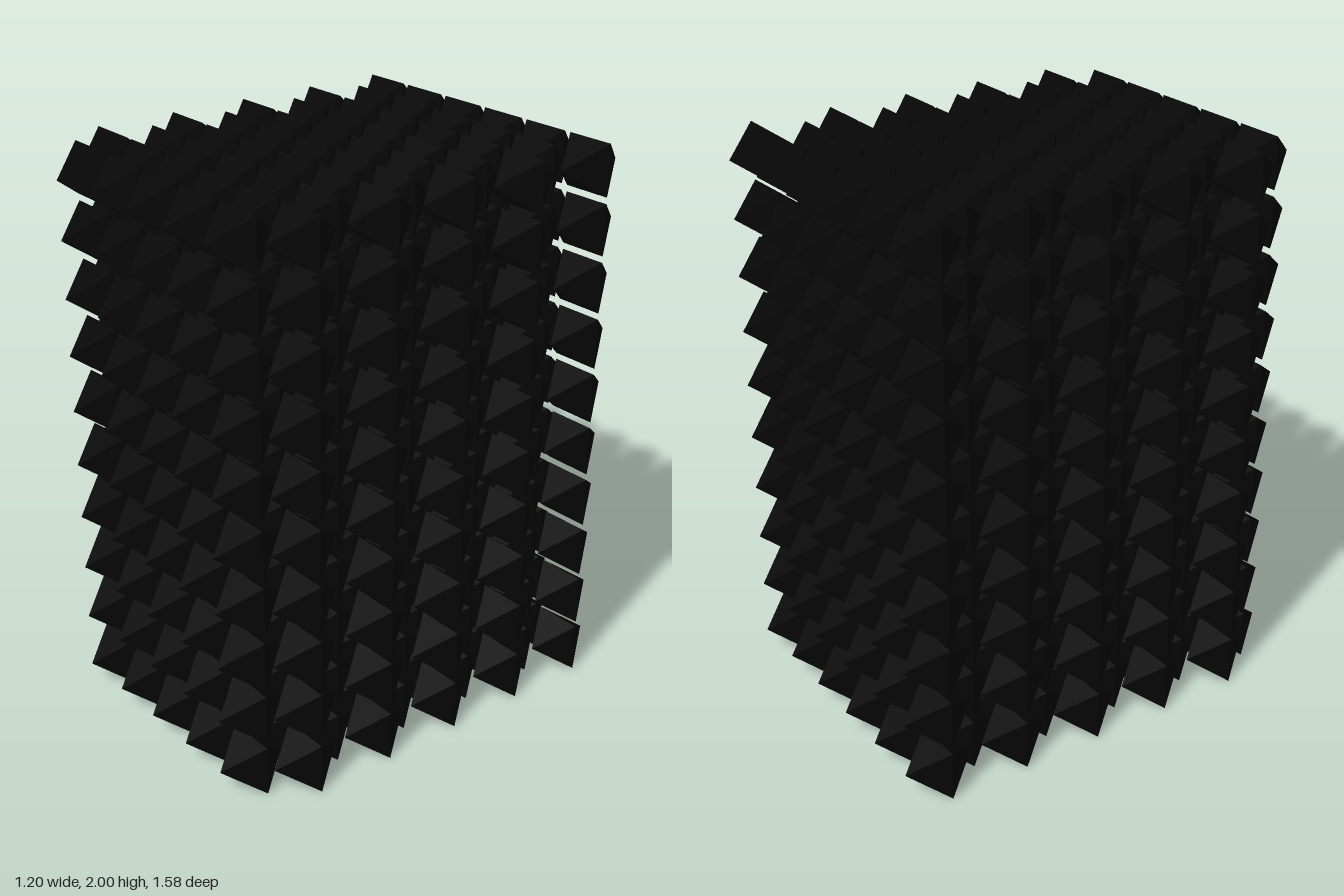
import * as THREE from 'three';
import { mergeGeometries } from 'three/addons/utils/BufferGeometryUtils.js';

const HALF = 0.09;                    // half width of a cell's square waist
const RADIUS = HALF * Math.SQRT2;     // centre to corner of a regular octahedron
const LAYERS = 10, ROWS = 10;
const STEP_X = 0.2046, STEP_Y = 0.2022, STEP_Z = 0.1475;

// One layer of octahedra: rows alternate between 6 and 5 cells, staggered
function layerGeometry() {
  const cell = new THREE.OctahedronGeometry(RADIUS).rotateZ(Math.PI / 4);
  const cells = [];
  for (let row = 0; row < ROWS; row++) {
    const count = row % 2 === 0 ? 6 : 5;
    const z = (row - (ROWS - 1) / 2) * STEP_Z;
    for (let i = 0; i < count; i++) {
      cells.push(cell.clone().translate((i - (count - 1) / 2) * STEP_X, 0, z));
    }
  }
  return mergeGeometries(cells);
}

// Small dark body wedged between the cells, flat underneath and tapered to the front
function createWedgedBody() {
  const outline = new THREE.Shape([
    [0.155, -0.59], [0.185, -0.59], [0.24, -0.38], [0.24, -0.3],
    [0.21, -0.24], [0.17, -0.24], [0.145, -0.3], [0.145, -0.42],
  ].map(([x, z]) => new THREE.Vector2(x, -z)));
  const geometry = new THREE.ExtrudeGeometry(outline, { depth: 0.09, bevelEnabled: false });
  geometry.rotateX(-Math.PI / 2).translate(0, 0.642, 0);
  const body = new THREE.Mesh(geometry, new THREE.MeshStandardMaterial({ color: 0x181818, flatShading: true }));
  body.name = 'wedgedBody';
  return body;
}

export function createModel() {
  const model = new THREE.Group();
  model.name = 'octahedronLattice';

  // Stacked layers of cells
  const geometry = layerGeometry();
  const black = new THREE.MeshStandardMaterial({ color: 0x050505, flatShading: true });
  for (let i = 0; i < LAYERS; i++) {
    const layer = new THREE.Mesh(geometry, black);
    layer.name = `cellLayer${i + 1}`;
    layer.position.y = HALF + i * STEP_Y;
    model.add(layer);
  }

  model.add(createWedgedBody());
  return model;
}
